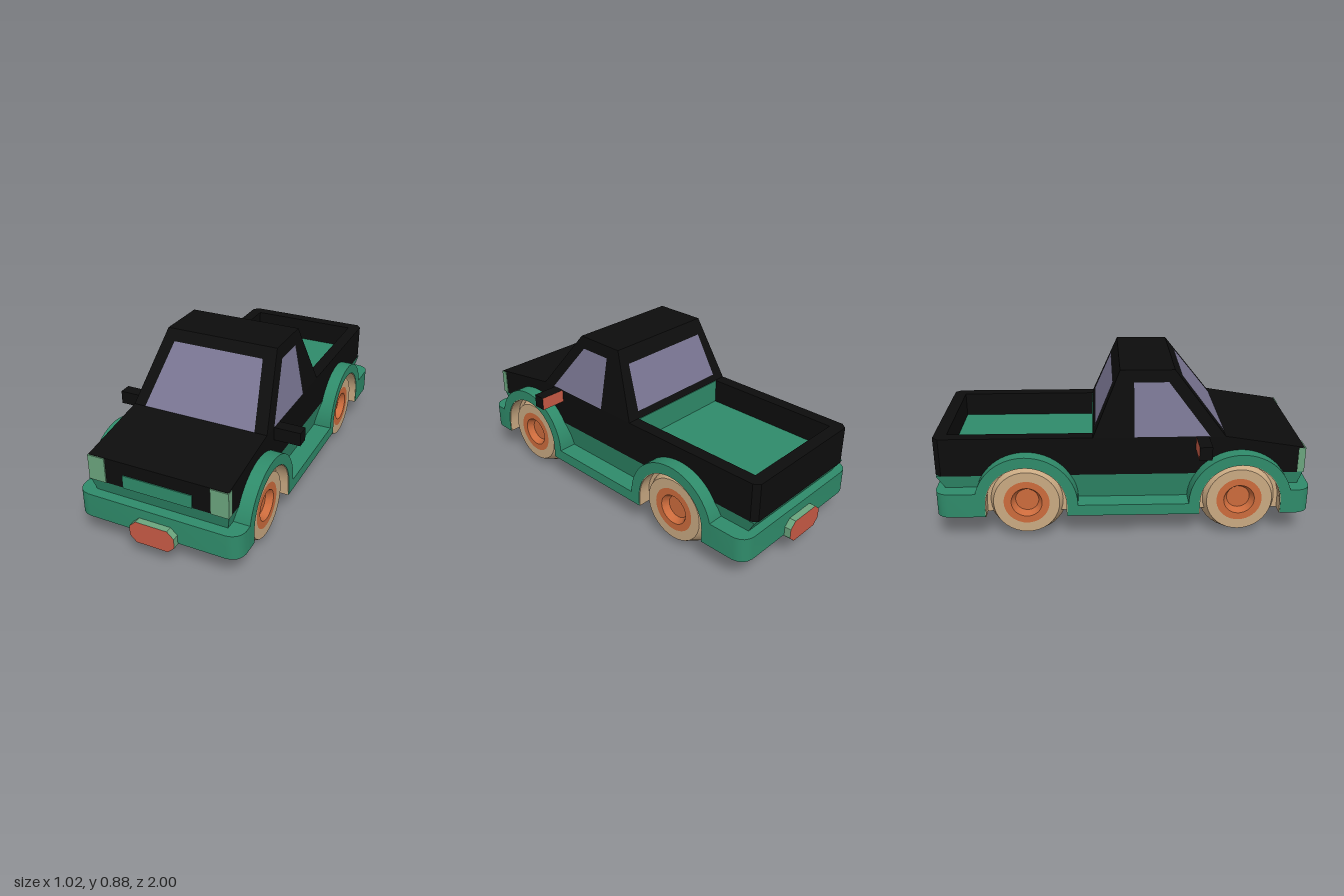
import * as THREE from 'three';
import { toCreasedNormals } from 'three/addons/utils/BufferGeometryUtils.js';

const paint = (name, color, side = THREE.FrontSide) => {
  const m = new THREE.MeshStandardMaterial({ color, side });
  m.name = name;
  return m;
};

export function createModel() {
  const truck = new THREE.Group();
  truck.name = 'pickupTruck';
  const green = paint('green', 0x2f8b6a);
  const black = paint('black', 0x0d0d0d);
  const glass = paint('glass', 0x7a7693, THREE.DoubleSide);
  const tan = paint('tan', 0xc9a982);
  const orange = paint('orange', 0xcc6b3c);
  const red = paint('red', 0xc85a45);
  const pale = paint('paleGreen', 0x6ba57e);

  const add = (name, geometry, material, parent = truck) => {
    const mesh = new THREE.Mesh(geometry, material);
    mesh.name = name;
    parent.add(mesh);
    return mesh;
  };
  // box from min and max corners
  const box = (x0, x1, y0, y1, z0, z1) => new THREE.BoxGeometry(x1 - x0, y1 - y0, z1 - z0)
    .translate((x0 + x1) / 2, (y0 + y1) / 2, (z0 + z1) / 2);
  const polygon = (pts) => new THREE.Shape(pts.map(([x, y]) => new THREE.Vector2(x, y)));
  const extrude = (shape, depth, curveSegments = 16) => toCreasedNormals(
    new THREE.ExtrudeGeometry(shape, { depth, bevelEnabled: false, curveSegments }), 0.6);
  // (z, y) profile extruded from x0 to x1
  const acrossX = (shape, x0, x1) => extrude(shape, x1 - x0).rotateY(-Math.PI / 2).translate(x1, 0, 0);
  // (x, -z) plan extruded from y0 to y1
  const upY = (shape, y0, y1) => extrude(shape, y1 - y0, 4).rotateX(-Math.PI / 2).translate(0, y0, 0);
  // box whose lower and upper rectangles differ; each is [y, halfX, zBack, zFront]
  const taper = (low, high) => {
    const g = new THREE.BoxGeometry(2, 2, 2), p = g.attributes.position;
    for (let i = 0; i < p.count; i++) {
      const [y, hx, zb, zf] = p.getY(i) < 0 ? low : high;
      p.setXYZ(i, p.getX(i) * hx, y, p.getZ(i) < 0 ? zb : zf);
    }
    g.computeVertexNormals();
    return g;
  };
  // flat pane from four corners
  const pane = (a, b, c, d) => {
    const g = new THREE.BufferGeometry();
    g.setAttribute('position', new THREE.Float32BufferAttribute([a, b, c, a, c, d].flat(), 3));
    g.computeVertexNormals();
    return g;
  };

  // Chassis: floor, sills and rounded ends
  const FRONT = 0.6, REAR = -0.5, AXLE = 0.205;
  add('floor', box(-0.34, 0.34, 0.14, 0.27, -0.72, 0.82), green);
  add('sill', box(-0.44, 0.44, 0.14, 0.2, -0.24, 0.34), green);
  for (const [name, dir, inner] of [['frontBumper', 1, 0.81], ['rearBumper', -1, 0.71]]) {
    const s = new THREE.Shape();
    s.moveTo(-0.44, -dir * inner);
    s.lineTo(-0.44, -dir * 0.9);
    s.quadraticCurveTo(-0.43, -dir * 0.96, -0.37, -dir * 0.965);
    s.lineTo(0.37, -dir * 0.965);
    s.quadraticCurveTo(0.43, -dir * 0.96, 0.44, -dir * 0.9);
    s.lineTo(0.44, -dir * inner);
    add(name, upY(s, 0.14, 0.27), green);

    // Octagonal plate with a red face
    const plate = polygon([[-0.12, 0.135], [-0.085, 0.102], [0.085, 0.102], [0.12, 0.135],
      [0.12, 0.187], [0.085, 0.22], [-0.085, 0.22], [-0.12, 0.187]]);
    const g = extrude(plate, 0.05).translate(0, 0, 0.95);
    if (dir < 0) g.rotateY(Math.PI);
    add(name + 'Plate', g, [red, pale]);
  }
  add('lowerBody', taper([0.2, 0.34, -0.88, 0.89], [0.34, 0.37, -0.96, 0.93]), green);

  // Wheels, fenders and wheel wells
  const arch = (z, outer, inner) => {
    const s = new THREE.Shape();
    s.moveTo(z + outer, 0.14);
    s.lineTo(z + outer, AXLE);
    s.absarc(z, AXLE, outer, 0, Math.PI, false);
    s.lineTo(z - outer, 0.14);
    if (inner) {
      s.lineTo(z - inner, 0.14);
      s.lineTo(z - inner, AXLE);
      s.absarc(z, AXLE, inner, Math.PI, 0, true);
      s.lineTo(z + inner, 0.14);
    }
    return s;
  };
  const lathe = (pts) => toCreasedNormals(
    new THREE.LatheGeometry(pts.map(([r, y]) => new THREE.Vector2(r, y)), 36), 0.4);
  const tyre = lathe([[0, -0.12], [0.17, -0.12], [0.205, -0.05], [0.205, 0.045], [0.17, 0.12], [0.118, 0.12]]);
  const rim = lathe([[0.118, 0.12], [0.08, 0.12], [0.06, 0.085], [0, 0.085]]);
  for (const [end, z] of [['front', FRONT], ['rear', REAR]]) {
    for (const [side, sx] of [['Left', 1], ['Right', -1]]) {
      const span = (a, b) => (sx > 0 ? [a, b] : [-b, -a]);
      add(`${end}${side}Fender`, acrossX(arch(z, 0.265, 0.21), ...span(0.315, 0.44)), green);
      add(`${end}${side}WellLining`, acrossX(arch(z, 0.212, 0.206), ...span(0.315, 0.437)), tan);
      add(`${end}${side}WellBack`, acrossX(arch(z, 0.207), ...span(0.31, 0.374)), tan);
      const wheel = new THREE.Group();
      wheel.name = `${end}${side}Wheel`;
      wheel.position.set(sx * 0.29, AXLE, z);
      wheel.rotation.z = -sx * Math.PI / 2;
      add('tyre', tyre, tan, wheel);
      add('rim', rim, orange, wheel);
      truck.add(wheel);
    }
  }

  // Hood and cab base
  add('hood', acrossX(polygon([[-0.12, 0.34], [0.93, 0.34], [0.93, 0.478], [0.52, 0.545], [-0.12, 0.545]]),
    -0.37, 0.37), black);
  add('grillePanel', box(-0.185, 0.185, 0.34, 0.41, 0.928, 0.935), green);
  for (const sx of [1, -1]) {
    const side = sx > 0 ? 'left' : 'right';
    add(side + 'Headlight', box(-0.0465, 0.0465, 0.342, 0.476, 0.9, 0.936).translate(sx * 0.3265, 0, 0), pale);
    // Wing mirror with a red rear face
    add(side + 'Mirror', box(-0.08, 0.08, 0.475, 0.545, 0.37, 0.435).translate(sx * 0.428, 0, 0),
      [black, black, black, black, black, red]);
  }

  // Load bed: walls around an open well, green floor and front wall
  const bed = polygon([[-0.37, 0.1], [0.37, 0.1], [0.37, 0.935], [0.345, 0.965], [-0.345, 0.965], [-0.37, 0.935]]);
  bed.holes.push(polygon([[-0.305, 0.155], [-0.305, 0.9], [0.305, 0.9], [0.305, 0.155]]));
  add('bedWalls', upY(bed, 0.34, 0.545), black);
  add('bedFloor', box(-0.305, 0.305, 0.335, 0.415, -0.9, -0.155), green);
  add('bedFrontWall', box(-0.305, 0.305, 0.41, 0.543, -0.16, -0.154), green);

  // Cab and its windows, which follow the sloping faces
  add('cab', taper([0.545, 0.37, -0.155, 0.52], [0.88, 0.305, -0.015, 0.26]), black);
  const slope = (low, high) => (y) => low + (high - low) * (y - 0.545) / 0.335;
  const frontZ = slope(0.524, 0.264), backZ = slope(-0.159, -0.019), sideX = slope(0.373, 0.308);
  const across = (zAt, y0, hx0, y1, hx1) => pane([-hx0, y0, zAt(y0)], [hx0, y0, zAt(y0)],
    [hx1, y1, zAt(y1)], [-hx1, y1, zAt(y1)]);
  add('windshield', across(frontZ, 0.547, 0.305, 0.83, 0.247), glass);
  add('rearWindow', across(backZ, 0.58, 0.295, 0.805, 0.265), glass);
  for (const sx of [1, -1]) {
    const at = (y, z) => [sx * sideX(y), y, z];
    add(sx > 0 ? 'leftWindow' : 'rightWindow',
      pane(at(0.547, 0.44), at(0.547, 0.055), at(0.82, 0.055), at(0.82, 0.23)), glass);
  }
  return truck;
}
